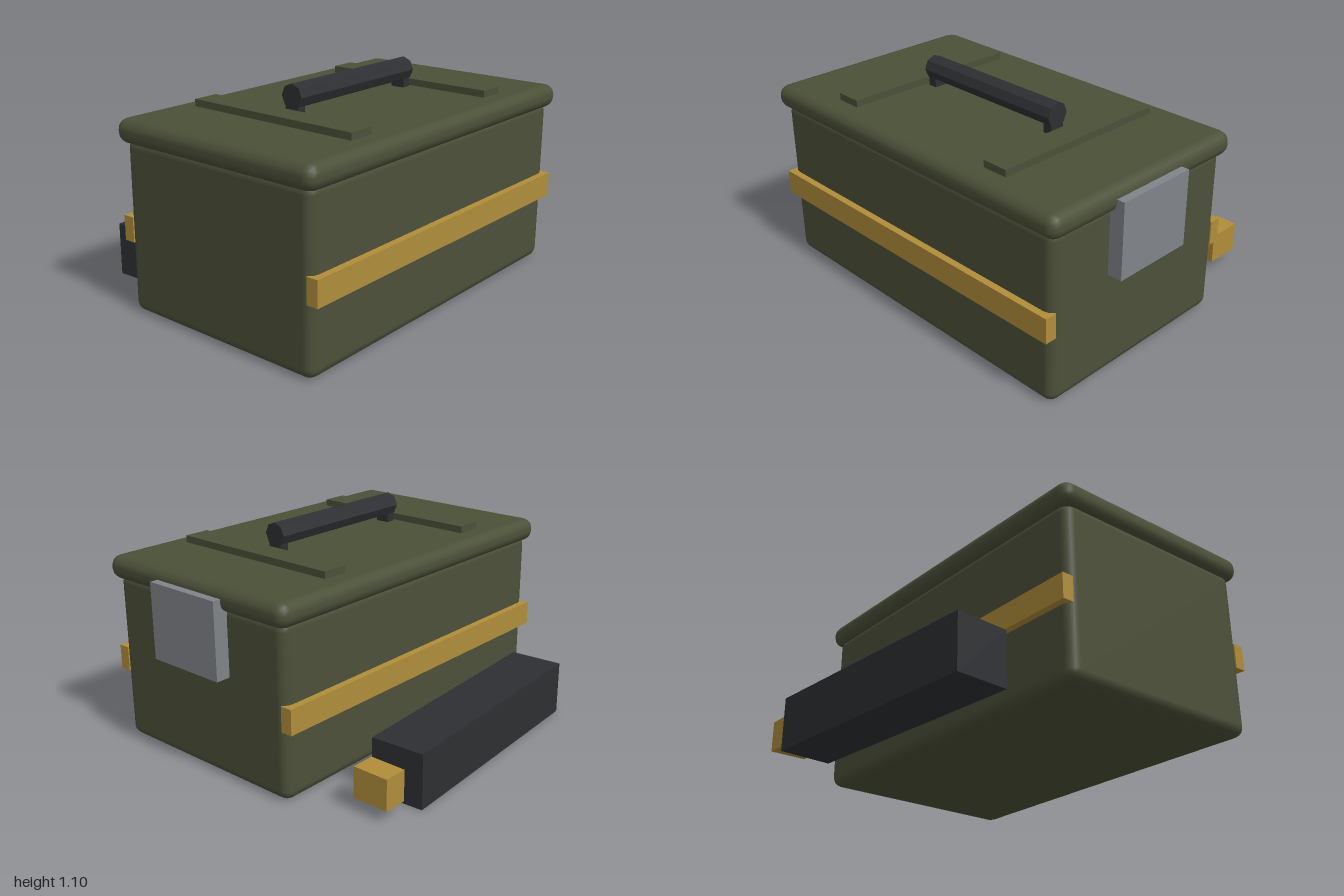
import * as THREE from 'three';
import { RoundedBoxGeometry } from 'three/addons/geometries/RoundedBoxGeometry.js';

const paint = (color, flatShading = false) => new THREE.MeshStandardMaterial({ color, flatShading });

export function createModel() {
  const model = new THREE.Group();
  const olive = paint(0x4b5038);
  const gold = paint(0xb08d3a);
  const black = paint(0x2d2f32, true);
  const steel = paint(0x808488);

  const add = (name, geometry, material, x, y, z) => {
    const mesh = new THREE.Mesh(geometry, material);
    mesh.name = name;
    mesh.position.set(x, y, z);
    model.add(mesh);
    return mesh;
  };
  const box = (name, material, [w, h, d], x, y, z) =>
    add(name, new THREE.BoxGeometry(w, h, d), material, x, y, z);

  // The case sits slightly off the model's centre
  const cx = -0.02, cz = 0.223;

  // Rounded body and overhanging lid
  add('body', new RoundedBoxGeometry(1.89, 0.86, 1.12, 2, 0.05), olive, cx, 0.43, cz);
  add('lid', new RoundedBoxGeometry(1.96, 0.12, 1.185, 2, 0.055), olive, cx, 0.89, cz);

  for (const side of [-1, 1]) {
    // Raised lid ribs, handle posts, and front and back stripes
    box('lidRib', olive, [0.135, 0.05, 0.945], cx + side * 0.518, 0.96, cz);
    box('handlePost', black, [0.05, 0.09, 0.075], cx + side * 0.405, 0.98, cz);
    box('stripe', gold, [1.89, 0.125, 0.06], cx, 0.412, cz + side * 0.565);
  }

  // Eight-sided carrying grip
  const grip = add('handleGrip', new THREE.CylinderGeometry(0.06, 0.06, 0.86, 8), black, cx, 1.04, cz);
  grip.rotation.z = Math.PI / 2;

  // Latch plate on the left end
  box('latch', steel, [0.1, 0.38, 0.43], 0.95, 0.71, 0.225);

  // Loose block lying behind the case, with a small block beside it
  box('looseBlock', black, [1.293, 0.275, 0.275], -0.063, 0.1375, -0.64).rotation.y = 0.066;
  box('smallBlock', gold, [0.12, 0.155, 0.187], 0.705, 0.138, -0.682);

  return model;
}
